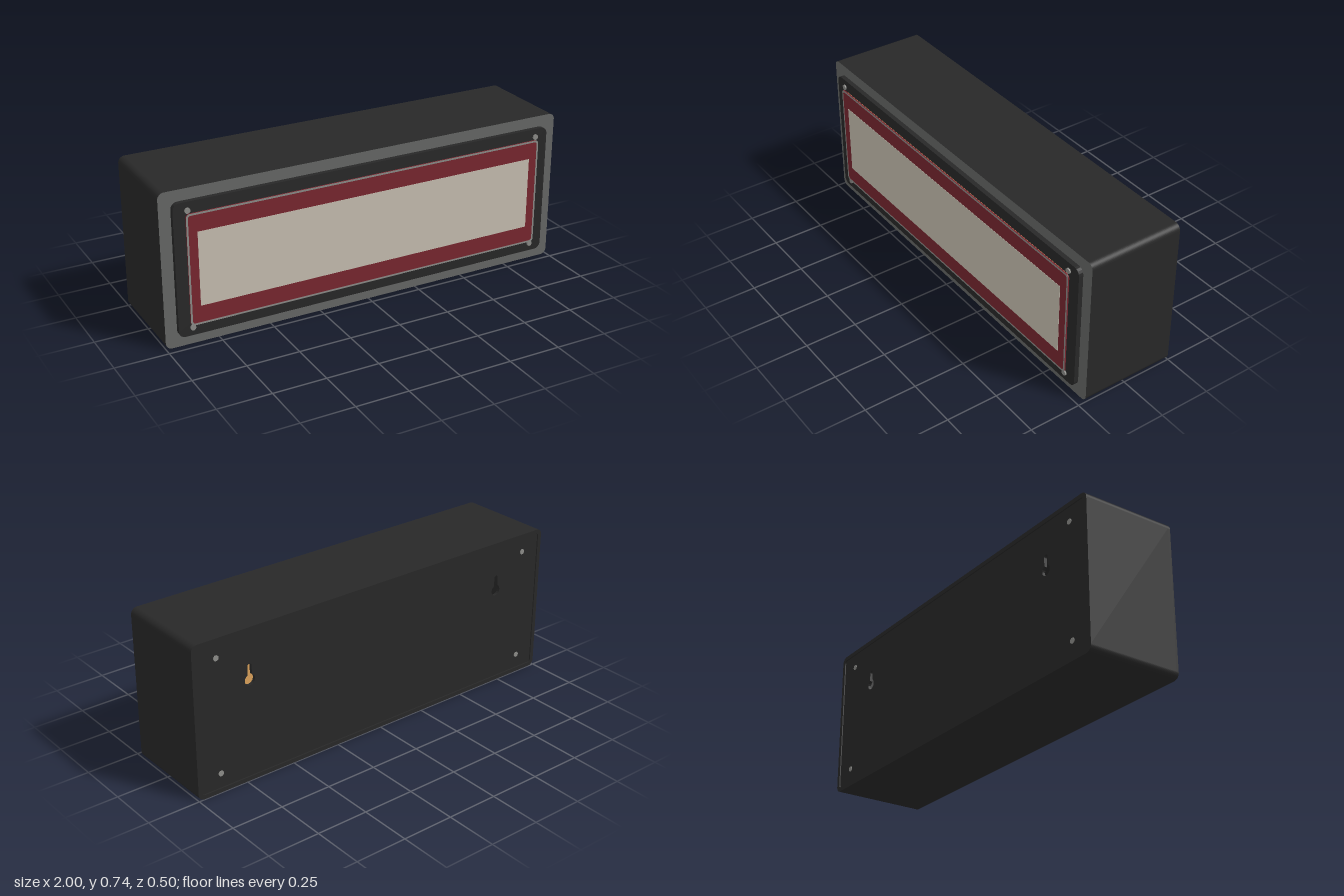
import * as THREE from 'three';

const CY = 0.3675; // mid height of the case

const mat = (color) => new THREE.MeshStandardMaterial({ color });
const dark = mat(0x282828);
const grey = mat(0x666766);
const metal = mat(0x8c8c88);
const red = mat(0x78262f);
const amber = mat(0xd9a05a);
const screenMat = mat(0xc6beb0);

// Rounded rectangle centred on the case axis
function roundRect(path, hw, hh, r) {
  path.moveTo(hw, -hh + r);
  path.lineTo(hw, hh - r);
  path.absarc(hw - r, hh - r, r, 0, Math.PI / 2);
  path.lineTo(-hw + r, hh);
  path.absarc(-hw + r, hh - r, r, Math.PI / 2, Math.PI);
  path.lineTo(-hw, -hh + r);
  path.absarc(-hw + r, -hh + r, r, Math.PI, Math.PI * 1.5);
  path.lineTo(hw - r, -hh);
  path.absarc(hw - r, -hh + r, r, Math.PI * 1.5, Math.PI * 2);
  return path;
}

// Keyhole: round entry below, narrow slot above
function keyhole(x, y) {
  const R = 0.026, w = 0.011, top = 0.065;
  const a = Math.acos(w / R);
  const p = new THREE.Path();
  p.absarc(x, y, R, Math.PI - a, Math.PI * 2 + a);
  p.lineTo(x + w, y + top);
  p.absarc(x, y + top, w, 0, Math.PI);
  p.closePath();
  return p;
}

// Extruded plate from z0 to z1 with holes
function plate(name, [hw, hh, r], z0, z1, material, holes = [], curveSegments = 8) {
  const shape = roundRect(new THREE.Shape(), hw, hh, r);
  shape.holes.push(...holes);
  const geo = new THREE.ExtrudeGeometry(shape, { depth: z1 - z0, bevelEnabled: false, curveSegments });
  const mesh = new THREE.Mesh(geo, material);
  mesh.position.set(0, CY, z0);
  mesh.name = name;
  return mesh;
}

const opening = (hw, hh, r) => roundRect(new THREE.Path(), hw, hh, r);

export function createModel() {
  const group = new THREE.Group();

  // Hollow case: wall, grey-faced front frame and recessed back cover
  group.add(
    plate('caseWall', [1, CY, 0.03], -0.248, 0.2, dark, [opening(0.98, 0.3475, 0.015)]),
    plate('frontFrame', [1, CY, 0.03], 0.2, 0.213, [grey, dark], [opening(0.91, 0.28, 0.02)]),
    plate('backCover', [0.979, 0.3465, 0.014], -0.243, -0.228, dark,
      [keyhole(0.715, 0.12), keyhole(-0.715, 0.12)]),
  );

  // Display stack on the front
  group.add(
    plate('bezel', [0.945, 0.315, 0.03], 0.213, 0.235, dark, [opening(0.865, 0.25, 0.01)], 2),
    plate('circuitBoard', [0.875, 0.257, 0.008], 0.235, 0.241, amber),
    plate('displayPanel', [0.892, 0.263, 0.018], 0.241, 0.247, red),
    plate('panelTrim', [0.892, 0.263, 0.018], 0.247, 0.2475, [metal, red], [opening(0.883, 0.254, 0.012)]),
    plate('screen', [0.843, 0.175, 0.001], 0.247, 0.248, screenMat),
  );

  // Screws at the four corners, front and back
  const screwGeo = new THREE.CylinderGeometry(0.013, 0.013, 0.008, 20).rotateX(Math.PI / 2);
  for (const [name, z] of [['frontScrew', 0.238], ['backScrew', -0.242]]) {
    for (const sx of [-1, 1]) {
      for (const sy of [-1, 1]) {
        const screw = new THREE.Mesh(screwGeo, metal);
        screw.name = name;
        screw.position.set(sx * 0.88, CY + sy * 0.276, z);
        group.add(screw);
      }
    }
  }
  return group;
}
